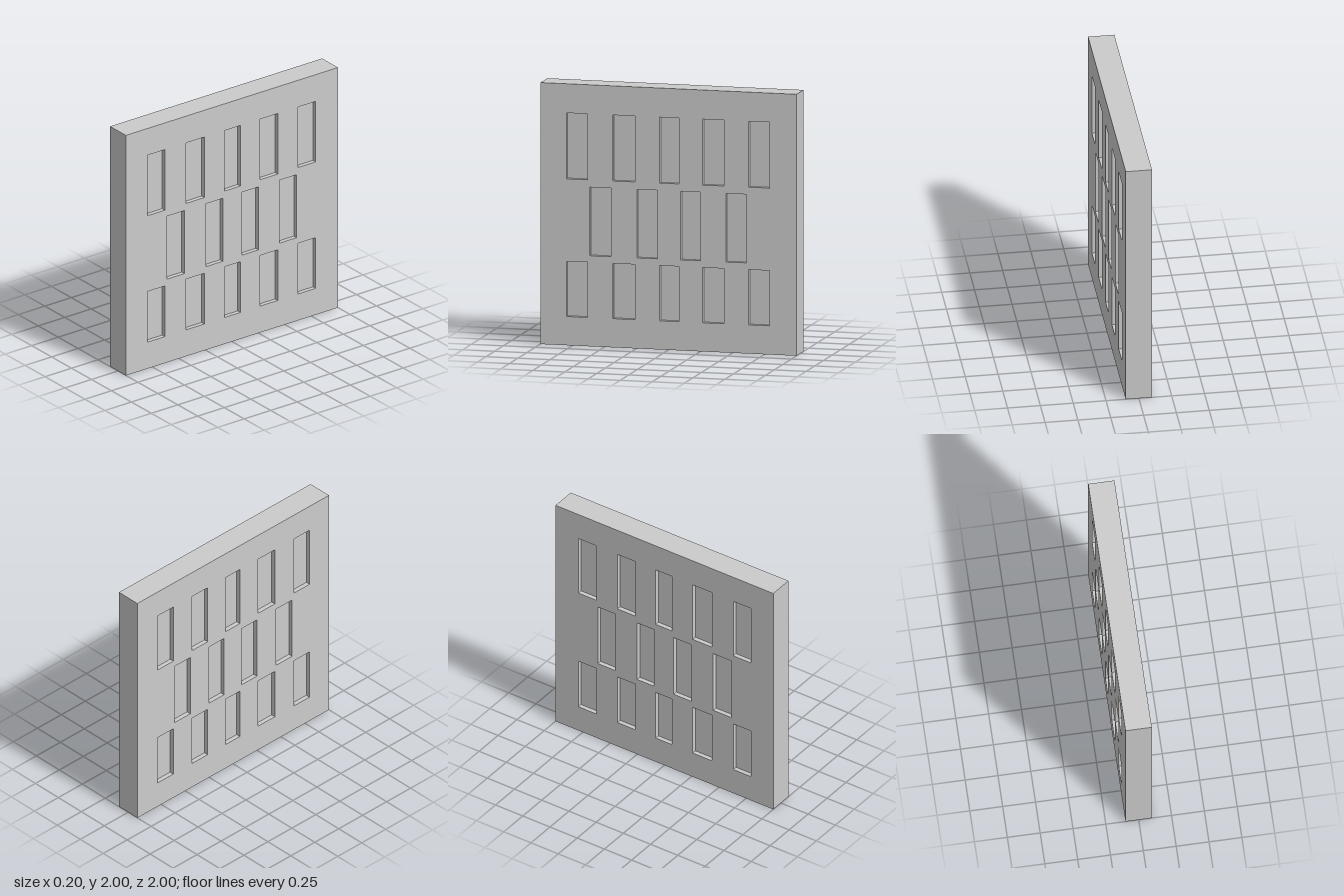
import * as THREE from 'three';

const THICKNESS = 0.2;
const RECESS = 0.035;

// Recess rows: bottom and top edge, and the z range of each opening
const outer = [[-0.79, -0.625], [-0.432, -0.266], [-0.08, 0.07], [0.26, 0.435], [0.633, 0.797]];
const inner = [[-0.61, -0.448], [-0.25, -0.095], [0.085, 0.247], [0.448, 0.615]];
const rows = [
  { y0: 0.22, y1: 0.642, columns: outer },
  { y0: 0.693, y1: 1.217, columns: inner },
  { y0: 1.273, y1: 1.777, columns: outer },
];

function rectangle(PathType, a0, b0, a1, b1) {
  return new PathType([[a0, b0], [a1, b0], [a1, b1], [a0, b1]].map(([a, b]) => new THREE.Vector2(a, b)));
}

export function createModel() {
  const group = new THREE.Group();
  group.name = 'recessedPanel';
  const material = new THREE.MeshStandardMaterial({ color: 0xcccccc, flatShading: true });

  const outline = rectangle(THREE.Shape, -1, 0, 1, 2);
  for (const { y0, y1, columns } of rows) {
    for (const [z0, z1] of columns) {
      outline.holes.push(rectangle(THREE.Path, z0, y0, z1, y1));

      // Recess floor, set back from both broad faces
      const floor = new THREE.Mesh(
        new THREE.BoxGeometry(THICKNESS - 2 * RECESS, y1 - y0, z1 - z0), material);
      floor.position.set(0, (y0 + y1) / 2, (z0 + z1) / 2);
      floor.name = 'recessFloor';
      group.add(floor);
    }
  }

  // Slab with openings, turned so its broad faces look along x
  const geometry = new THREE.ExtrudeGeometry(outline, { depth: THICKNESS, bevelEnabled: false });
  geometry.translate(0, 0, -THICKNESS / 2).rotateY(-Math.PI / 2);
  const slab = new THREE.Mesh(geometry, material);
  slab.name = 'slab';
  group.add(slab);
  return group;
}
